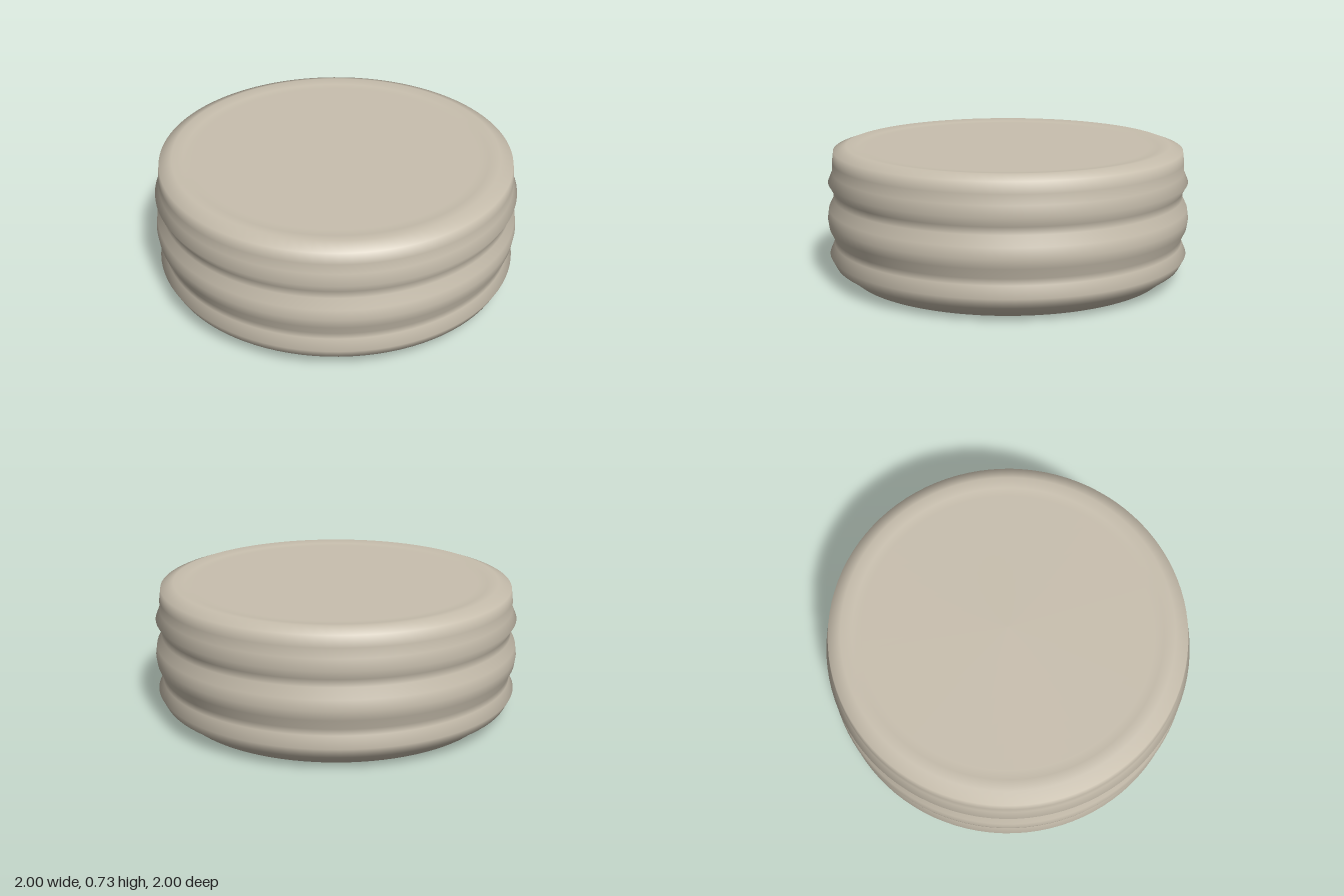
import * as THREE from 'three';

export function createModel() {
  const group = new THREE.Group();
  group.name = 'ribbedDisc';

  const stone = new THREE.MeshStandardMaterial({ color: 0xc8bfae });
  stone.name = 'warm grey';

  // Profile [radius, height] from the base centre, up the ribs, to the dished top
  const profile = [
    [0, 0], [0.8, 0], [0.88, 0.01],
    [0.92, 0.045], [0.965, 0.075], [0.993, 0.13], // lower rib
    [0.967, 0.19], [0.967, 0.225],                // groove
    [0.993, 0.28], [1, 0.33], [0.992, 0.385],     // middle rib
    [0.965, 0.44], [0.965, 0.48],                 // groove
    [0.993, 0.53], [0.97, 0.585],                 // upper rib
    [0.968, 0.64], [0.96, 0.7],                   // neck
    [0.89, 0.725], [0.83, 0.715], [0.78, 0.713], [0, 0.713], // rim and dish
  ].map(([r, y]) => new THREE.Vector2(r, y));

  const body = new THREE.Mesh(new THREE.LatheGeometry(profile, 96), stone);
  body.name = 'body';
  group.add(body);
  return group;
}
